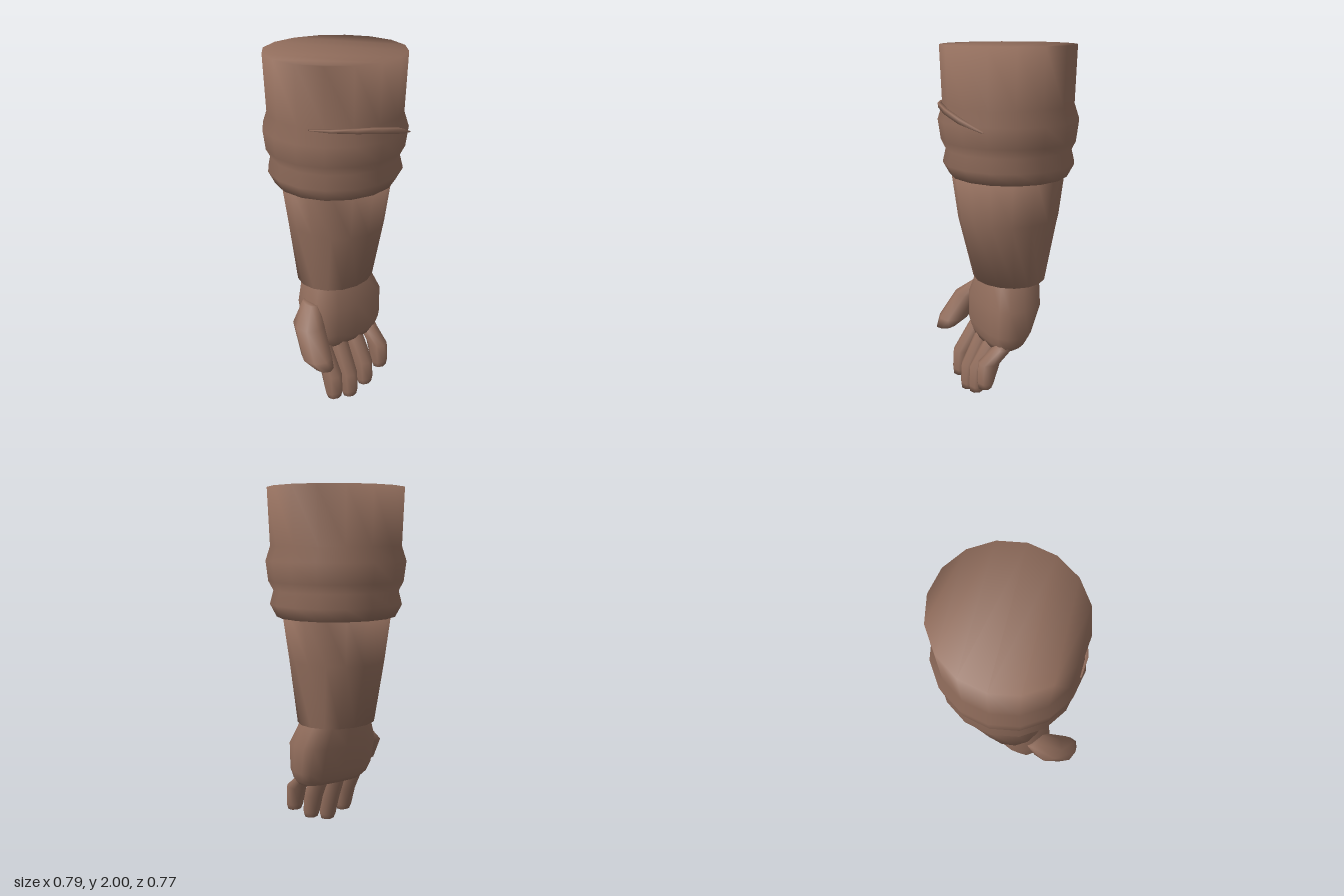
import * as THREE from 'three';

const brown = new THREE.MeshStandardMaterial({ color: 0x916d5c });
brown.name = 'brown';

// Closed smooth skin through rings [y, centreX, radiusX, centreZ, radiusZ], listed top to bottom.
// power < 1 squares off the cross-section.
function loft(rings, sides, power = 1) {
  const pos = [], index = [];
  const bend = v => Math.sign(v) * Math.pow(Math.abs(v), power);
  for (const [y, cx, rx, cz, rz] of rings) {
    for (let i = 0; i < sides; i++) {
      const t = Math.PI * 0.75 + (i / sides) * Math.PI * 2;
      pos.push(cx + rx * bend(Math.cos(t)), y, cz + rz * bend(Math.sin(t)));
    }
  }
  for (let r = 0; r < rings.length - 1; r++) {
    for (let i = 0; i < sides; i++) {
      const j = (i + 1) % sides, a = r * sides, b = a + sides;
      index.push(a + i, a + j, b + i, a + j, b + j, b + i);
    }
  }
  // end caps, as strips across the ring
  const end = (rings.length - 1) * sides;
  for (let k = 0; k < sides / 2; k++) {
    const l = k, l2 = k + 1, r = (sides - k) % sides, r2 = sides - k - 1;
    const tris = [];
    if (l !== r) tris.push([l, r, l2]);
    if (l2 !== r2) tris.push([r, r2, l2]);
    for (const [a, b, c] of tris) index.push(a, b, c, end + a, end + c, end + b);
  }
  const geo = new THREE.BufferGeometry();
  geo.setAttribute('position', new THREE.Float32BufferAttribute(pos, 3));
  geo.setIndex(index);
  geo.computeVertexNormals();
  return geo;
}

export function createModel() {
  const model = new THREE.Group();
  model.name = 'arm';
  const add = (name, geo, parent = model) => {
    const mesh = new THREE.Mesh(geo, brown);
    mesh.name = name;
    parent.add(mesh);
  };

  // upper sleeve with two soft rolls at its hem
  add('sleeve', loft([
    [2.0, 0, 0.38, 0, 0.366],
    [1.69, 0, 0.367, 0, 0.358],
    [1.61, 0, 0.393, 0, 0.385],
    [1.5, 0, 0.38, 0, 0.37],
    [1.45, 0, 0.352, 0, 0.346],
    [1.375, 0, 0.373, 0, 0.363],
    [1.305, 0, 0.338, 0, 0.323],
  ], 16));

  // tapering cuff over the forearm
  add('forearm', loft([
    [1.34, 0, 0.303, 0, 0.325],
    [1.06, 0, 0.264, 0, 0.29],
    [0.7, 0, 0.23, 0, 0.2],
  ], 16));

  // thin cloth crease across the front, lofted along x then turned
  const crease = loft([
    [0.32, 1.69, 0.004, 0.205, 0.008],
    [0.25, 1.69, 0.01, 0.283, 0.014],
    [0.14, 1.685, 0.016, 0.345, 0.016],
    [0, 1.667, 0.02, 0.368, 0.018],
    [-0.15, 1.632, 0.018, 0.355, 0.016],
    [-0.27, 1.587, 0.004, 0.291, 0.006],
  ], 4);
  crease.rotateZ(Math.PI / 2);
  add('sleeveCrease', crease);

  const hand = new THREE.Group();
  hand.name = 'hand';
  model.add(hand);

  // palm
  add('palm', loft([
    [0.74, 0, 0.19, 0, 0.15],
    [0.7, 0, 0.2, 0.01, 0.155],
    [0.57, 0.005, 0.252, 0.037, 0.165],
    [0.41, 0, 0.247, 0.065, 0.135],
    [0.35, -0.003, 0.23, 0.077, 0.105],
    [0.32, 0, 0.2, 0.085, 0.09],
  ], 16, 0.7), hand);

  // thumb, slanting forward
  add('thumb', loft([
    [0.61, -0.225, 0.035, 0.06, 0.06],
    [0.52, -0.282, 0.085, 0.12, 0.095],
    [0.37, -0.305, 0.086, 0.225, 0.09],
    [0.32, -0.295, 0.052, 0.28, 0.06],
  ], 8), hand);

  // four fingers: centre x and tip height
  const fingers = [[-0.19, 0.04], [-0.075, 0], [0.04, 0.035], [0.155, 0.11]];
  fingers.forEach(([x, tip], i) => add('finger' + (i + 1), loft([
    [0.365, x, 0.05, 0.11, 0.045],
    [0.33, x, 0.056, 0.122, 0.058],
    [tip + 0.15, x, 0.056, 0.21, 0.068],
    [tip + 0.035, x, 0.055, 0.235, 0.046],
    [tip, x, 0.043, 0.24, 0.038],
  ], 8), hand));

  return model;
}
